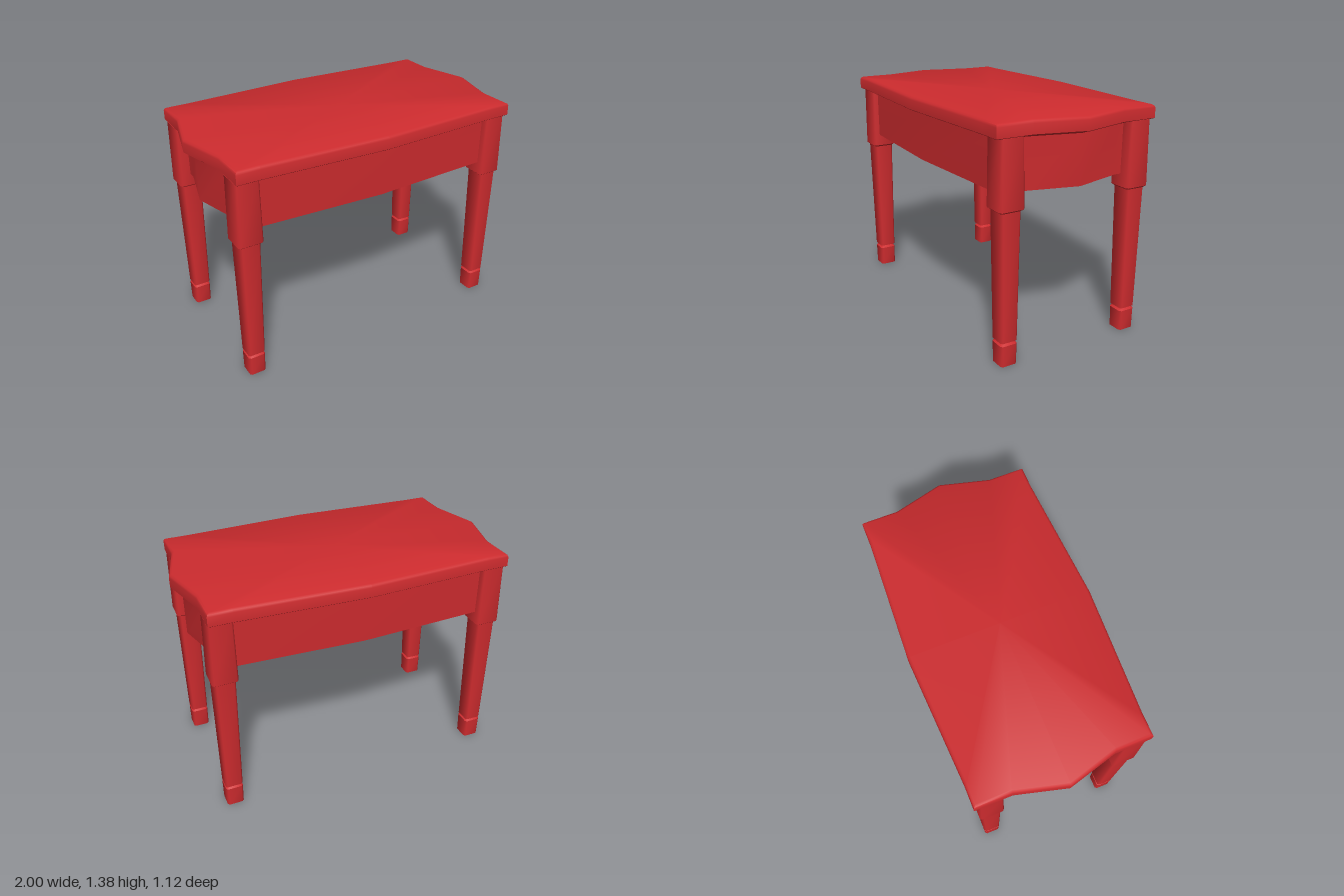
import * as THREE from 'three';
import { toCreasedNormals } from 'three/addons/utils/BufferGeometryUtils.js';

const material = new THREE.MeshStandardMaterial({ color: 0xcc2b2e });

// Joins a stack of rings (bottom to top, anticlockwise seen from above) and caps both ends.
function loft(rings) {
  const n = rings[0].length;
  const last = rings.length - 1;
  const points = rings.flat();
  const index = [];
  for (let r = 0; r < last; r++) {
    for (let i = 0; i < n; i++) {
      const a = r * n + i, b = r * n + (i + 1) % n;
      index.push(a, b, b + n, a, b + n, a + n);
    }
  }
  const bottom = points.length, top = bottom + 1;
  points.push(new THREE.Vector3(0, rings[0][0].y, 0), new THREE.Vector3(0, rings[last][0].y, 0));
  for (let i = 0; i < n; i++) {
    const j = (i + 1) % n;
    index.push(bottom, j, i, top, last * n + i, last * n + j);
  }
  const geometry = new THREE.BufferGeometry().setFromPoints(points);
  geometry.setIndex(index);
  return toCreasedNormals(geometry, 0.85);
}

// Serpentine plan shared by top and apron: points with the inward direction of their edge.
const QUARTER = [
  [1, 0, 1, 0], [0.92, 0.3, 1, 0], [0.92, 0.522, 1, 1], [0.78, 0.522, 0, 1], [0, 0.56, 0, 1],
];
function planRing(y, inset) {
  const quarter = QUARTER.map(([x, z, dx, dz]) => [x - dx * inset, z - dz * inset]);
  const half = [...quarter, ...quarter.slice(0, 4).reverse().map(([x, z]) => [-x, z])];
  const full = [...half, ...half.slice(1, -1).reverse().map(([x, z]) => [x, -z])];
  return full.map(([x, z]) => new THREE.Vector3(x, y, -z));
}

// Square ring with small chamfered corners.
function squareRing(y, h) {
  const c = h - 0.011;
  return [[h, -c], [h, c], [c, h], [-c, h], [-h, c], [-h, -c], [-c, -h], [c, -h]]
    .map(([x, z]) => new THREE.Vector3(x, y, -z));
}

function addMesh(parent, name, geometry) {
  const mesh = new THREE.Mesh(geometry, material);
  mesh.name = name;
  parent.add(mesh);
  return mesh;
}

export function createModel() {
  const group = new THREE.Group();
  group.name = 'table';

  // Top slab with a softened upper edge
  addMesh(group, 'tableTop', loft([
    planRing(1.303, 0.006), planRing(1.308, 0), planRing(1.366, 0),
    planRing(1.378, 0.005), planRing(1.385, 0.018),
  ]));

  // Sloping moulding beneath the slab
  addMesh(group, 'moulding', loft([planRing(1.285, 0.062), planRing(1.304, 0.037)]));

  // Closed apron box
  addMesh(group, 'apron', loft([planRing(0.99, 0.065), planRing(1.286, 0.065)]));

  // Tapered square legs: foot, groove, shaft, collar, upper block
  const legProfile = [
    [0, 0.051], [0.127, 0.053], [0.141, 0.036], [0.146, 0.053], [0.153, 0.053],
    [0.904, 0.062], [0.915, 0.076], [1.304, 0.072],
  ];
  const legGeometry = loft(legProfile.map(([y, h]) => squareRing(y, h)));
  for (const [x, sideName] of [[0.847, 'Left'], [-0.847, 'Right']]) {
    for (const [z, endName] of [[0.422, 'front'], [-0.422, 'back']]) {
      addMesh(group, endName + sideName + 'Leg', legGeometry).position.set(x, 0, z);
    }
  }
  return group;
}
